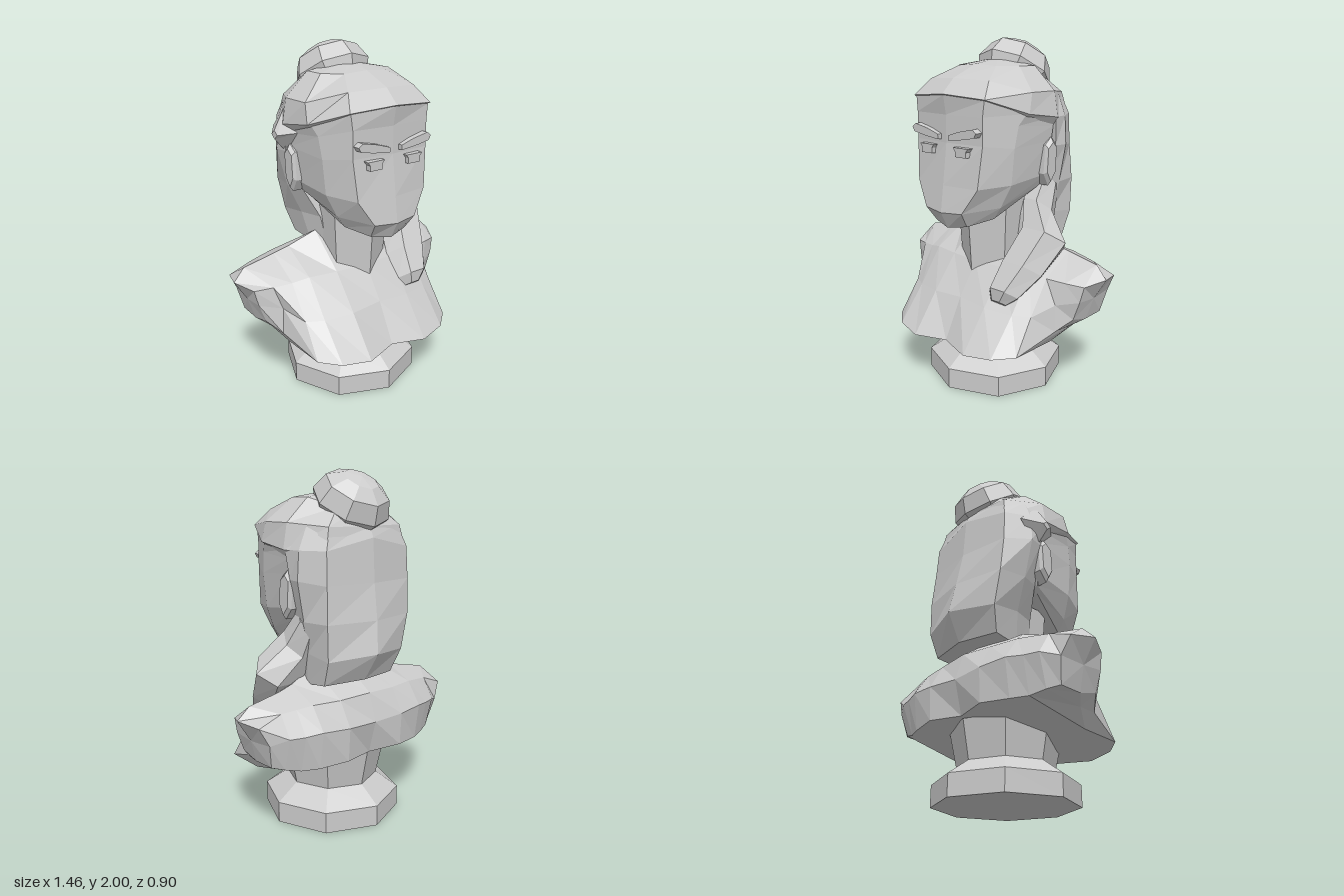
import * as THREE from 'three';

const material = new THREE.MeshStandardMaterial({ color: 0xcccccc, flatShading: true, side: THREE.DoubleSide });

// Skin closed rings of [x, y, z] points, closing both ends with fans
function loft(rings) {
  const n = rings[0].length;
  const points = rings.flat();
  const index = [];
  for (let r = 0; r < rings.length - 1; r++) {
    for (let i = 0; i < n; i++) {
      const j = (i + 1) % n, a = r * n, b = a + n;
      index.push(a + i, a + j, b + j, a + i, b + j, b + i);
    }
  }
  const cap = (ring, start, flip) => {
    const c = points.length;
    points.push([0, 1, 2].map(k => ring.reduce((s, p) => s + p[k], 0) / n));
    for (let i = 0; i < n; i++) {
      const a = start + i, b = start + (i + 1) % n;
      index.push(c, flip ? b : a, flip ? a : b);
    }
  };
  cap(rings[0], 0, true);
  cap(rings[rings.length - 1], (rings.length - 1) * n, false);
  // Turn all faces outward
  let volume = 0;
  const v = points.map(p => new THREE.Vector3(...p));
  for (let i = 0; i < index.length; i += 3) {
    volume += v[index[i]].dot(v[index[i + 1]].clone().cross(v[index[i + 2]]));
  }
  if (volume < 0) index.reverse();
  const g = new THREE.BufferGeometry();
  g.setAttribute('position', new THREE.Float32BufferAttribute(points.flat(), 3));
  g.setIndex(index);
  g.computeVertexNormals();
  return g;
}

// Complete a half ring (first and last points on x = 0) by mirroring
const mirrorRing = half => [...half, ...half.slice(1, -1).reverse().map(([x, y, z]) => [-x, y, z])];

export function createModel() {
  const model = new THREE.Group();
  const add = (name, geometry) => {
    const mesh = new THREE.Mesh(geometry, material);
    mesh.name = name;
    model.add(mesh);
    return mesh;
  };
  const lathe = profile => new THREE.LatheGeometry(profile.map(p => new THREE.Vector2(...p)), 8);

  // Octagonal pedestal
  add('pedestal', lathe([[0, 0], [0.402, 0], [0.402, 0.12], [0.27, 0.21], [0.315, 0.42], [0, 0.42]])).position.z = -0.032;

  // Torso: sections across x, each a loop of [z, y] with an optional own x
  const sections = [
    [0, [[-0.36, 0.43], [-0.41, 0.62], [-0.36, 0.78], [-0.1, 0.95], [0.14, 0.73], [0.27, 0.54], [0.39, 0.31], [0.1, 0.3]]],
    [0.2, [[-0.41, 0.44], [-0.42, 0.63], [-0.34, 0.77], [-0.1, 0.92], [0.12, 0.73], [0.28, 0.53], [0.45, 0.3], [0.15, 0.29]]],
    [0.37, [[-0.37, 0.43], [-0.4, 0.64], [-0.31, 0.77], [-0.13, 0.85], [0.09, 0.73], [0.24, 0.52], [0.41, 0.315], [0.08, 0.32]]],
    [0.465, [[-0.33, 0.43], [-0.37, 0.63], [-0.29, 0.76], [-0.14, 0.825], [0.06, 0.71], [0.19, 0.52], [0.32, 0.33, 0.475], [0.05, 0.34, 0.49]]],
    [0.55, [[-0.3, 0.45], [-0.345, 0.63], [-0.27, 0.75], [-0.14, 0.785, 0.66], [0.03, 0.7, 0.57], [0.06, 0.57, 0.53], [0.07, 0.42, 0.54], [-0.05, 0.42]]],
    [0.61, [[-0.26, 0.465], [-0.29, 0.6, 0.64], [-0.27, 0.7, 0.69], [-0.13, 0.715, 0.73], [-0.01, 0.69, 0.67], [0, 0.6, 0.65], [0, 0.49], [-0.12, 0.46]]],
  ];
  const section = ([x, loop], s) => loop.map(([z, y, ownX = x]) => [s * ownX, y, z]);
  add('torso', loft([
    ...sections.slice(1).reverse().map(r => section(r, -1)),
    ...sections.map(r => section(r, 1)),
  ]));

  // Neck
  const neck = add('neck', new THREE.CylinderGeometry(0.225, 0.19, 0.5, 6));
  neck.position.set(0, 0.87, -0.02);

  // Head, from jaw to forehead; half rings run front to back
  add('head', loft([
    [[0, 0.975, 0.36], [0.12, 0.995, 0.33], [0.2, 1.03, 0.2], [0.27, 1.17, -0.05], [0, 1.08, -0.15]],
    [[0, 1.07, 0.41], [0.14, 1.08, 0.39], [0.25, 1.1, 0.2], [0.3, 1.2, -0.08], [0, 1.2, -0.25]],
    [[0, 1.22, 0.39], [0.23, 1.22, 0.36], [0.31, 1.23, 0.18], [0.33, 1.26, -0.1], [0, 1.3, -0.25]],
    [[0, 1.45, 0.36], [0.25, 1.45, 0.34], [0.33, 1.43, 0.18], [0.355, 1.45, -0.1], [0, 1.45, -0.25]],
    [[0, 1.6, 0.36], [0.25, 1.6, 0.34], [0.34, 1.55, 0.16], [0.365, 1.53, -0.1], [0, 1.55, -0.25]],
    [[0, 1.705, 0.378], [0.26, 1.685, 0.337], [0.36, 1.61, 0.12], [0.37, 1.58, -0.1], [0, 1.6, -0.25]],
  ].map(mirrorRing)));

  // Hair over the skull, from the hairline upward
  add('hairCap', loft([
    [[0, 1.69, 0.34], [0.24, 1.67, 0.31], [0.345, 1.59, 0.12], [0.36, 1.53, -0.1], [0.28, 1.45, -0.32], [0, 1.45, -0.36]],
    [[0, 1.71, 0.385], [0.27, 1.69, 0.345], [0.38, 1.61, 0.12], [0.395, 1.58, -0.1], [0.295, 1.56, -0.33], [0, 1.6, -0.36]],
    [[0, 1.79, 0.3], [0.22, 1.78, 0.26], [0.37, 1.72, 0.09], [0.37, 1.72, -0.1], [0.26, 1.7, -0.31], [0, 1.7, -0.345]],
    [[0, 1.86, 0.13], [0.14, 1.85, 0.12], [0.23, 1.85, 0.03], [0.23, 1.85, -0.1], [0.15, 1.8, -0.25], [0, 1.8, -0.28]],
    [[0, 1.88, 0], [0.04, 1.88, 0], [0.07, 1.88, -0.03], [0.07, 1.88, -0.08], [0.05, 1.87, -0.12], [0, 1.87, -0.13]],
  ].map(mirrorRing)));

  // Long hair down the back with a central ridge, its lower end drawn toward the left
  const backHair = [
    [[0, 0.82, -0.02], [0.2, 0.81, -0.02], [0.24, 0.84, -0.15], [0.25, 0.86, -0.31], [0, 0.865, -0.36]],
    [[0, 1.02, -0.04], [0.23, 1.02, -0.04], [0.27, 1.02, -0.18], [0.275, 1, -0.36], [0, 1.02, -0.45]],
    [[0, 1.2, -0.09], [0.3, 1.2, -0.09], [0.33, 1.2, -0.2], [0.3, 1.2, -0.36], [0, 1.2, -0.42]],
    [[0, 1.42, -0.12], [0.37, 1.42, -0.12], [0.38, 1.42, -0.2], [0.3, 1.4, -0.345], [0, 1.4, -0.385]],
    [[0, 1.58, -0.1], [0.385, 1.58, -0.1], [0.37, 1.58, -0.2], [0.295, 1.58, -0.335], [0, 1.64, -0.37]],
    [[0, 1.7, -0.13], [0.33, 1.7, -0.13], [0.32, 1.7, -0.2], [0.25, 1.7, -0.305], [0, 1.73, -0.33]],
  ];
  const drift = [0.04, 0.03, 0.01, 0, 0, 0];
  add('backHair', loft(backHair.map((half, i) => mirrorRing(half).map(([x, y, z]) => [x + drift[i], y, z]))));

  // Bun, tilted back on the crown
  const bun = add('bun', lathe([[0, -0.06], [0.17, -0.06], [0.2, 0], [0.224, 0.05], [0.185, 0.15], [0.1, 0.2], [0, 0.215]]));
  bun.position.set(0, 1.775, -0.165);
  bun.rotation.x = -0.57;

  // Lock of hair over the left shoulder: [x, y, z, half width, half depth]
  const lock = [
    [0.28, 1.2, -0.17, 0.06, 0.09], [0.285, 1.06, -0.09, 0.09, 0.12], [0.375, 0.91, -0.02, 0.155, 0.13],
    [0.325, 0.74, 0.11, 0.145, 0.11], [0.29, 0.62, 0.22, 0.105, 0.075], [0.275, 0.57, 0.245, 0.055, 0.035],
  ];
  add('sideLock', loft(lock.map(([x, y, z, w, d]) => Array.from({ length: 6 }, (_, i) => {
    const a = i * Math.PI / 3, s = d * Math.sin(a);
    return [x + w * Math.cos(a), y + 0.6 * s, z + 0.8 * s];
  }))));

  // Flare of hair at the right temple
  const tuft = (x, y, z, h, d) => [[x, y + h, z], [x, y, z + d], [x, y - h, z], [x, y, z - d]];
  add('templeTuft', loft([tuft(-0.355, 1.54, -0.14, 0.13, 0.13), tuft(-0.432, 1.52, -0.13, 0.025, 0.03)]));

  // Ears, brows and eyes in mirrored pairs
  const slab = (outline, depth) => new THREE.ExtrudeGeometry(
    new THREE.Shape(outline.map(p => new THREE.Vector2(...p))), { depth, bevelEnabled: false });
  const brow = [[0.04, 1.467], [0.15, 1.48], [0.23, 1.495], [0.245, 1.52], [0.22, 1.54], [0.12, 1.52], [0.04, 1.495]];
  const eye = [[0.09, 1.385], [0.17, 1.385], [0.17, 1.415], [0.185, 1.435], [0.075, 1.435], [0.09, 1.415]];
  const earRing = (x, r) => [[0.1, 0.03], [0.14, -0.02], [0.1, -0.06], [-0.07, -0.05], [-0.13, 0], [-0.06, 0.04]]
    .map(([y, z]) => [x, 1.33 + y * r, -0.07 + z * r]);
  for (const side of [1, -1]) {
    const name = side > 0 ? 'left' : 'right';
    const place = (part, outline, depth, z) => {
      const pts = outline.map(([x, y]) => [side * x, y]);
      add(name + part, slab(pts, depth)).position.z = z;
    };
    place('Brow', brow, 0.05, 0.335);
    place('Eye', eye, 0.04, 0.345);
    add(name + 'Ear', loft([earRing(side * 0.3, 1), earRing(side * 0.36, 1), earRing(side * 0.38, 0.8)]));
  }
  return model;
}
